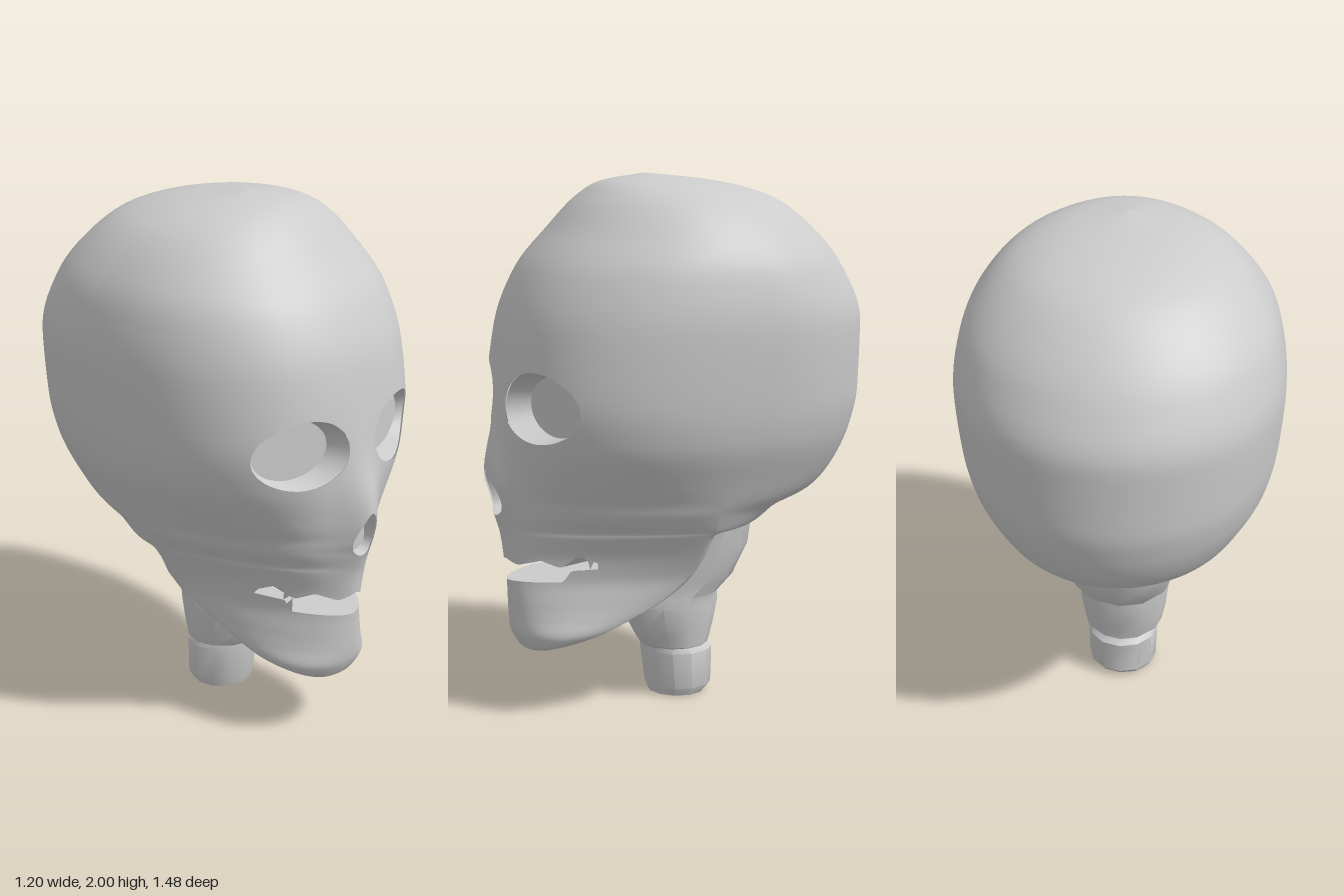
import * as THREE from 'three';
import { toCreasedNormals } from 'three/addons/utils/BufferGeometryUtils.js';

const material = new THREE.MeshStandardMaterial({ color: 0xcccccc, side: THREE.DoubleSide });

// Head sections: [y, half width, front z, back z, z of widest point, front exponents in x and z]
const HEAD = [
  [2, 0, 0.1, 0.1, 0.1, 2, 2],
  [1.97, 0.21, 0.26, -0.17, 0.05, 2, 2],
  [1.91, 0.37, 0.35, -0.39, 0, 2, 2],
  [1.8, 0.49, 0.45, -0.54, -0.06, 2.1, 2.1],
  [1.65, 0.57, 0.57, -0.66, -0.12, 2.3, 2.3],
  [1.45, 0.6, 0.65, -0.74, -0.15, 2.4, 2.4],
  [1.2, 0.585, 0.68, -0.74, -0.13, 2.5, 2.5],
  [1.05, 0.56, 0.675, -0.715, -0.1, 2.4, 2.3],
  [0.9, 0.5, 0.665, -0.65, -0.06, 2.2, 1.8],
  [0.82, 0.465, 0.665, -0.57, -0.03, 2, 1.5],
  [0.77, 0.44, 0.66, -0.42, 0, 2, 1.4],
  [0.71, 0.41, 0.66, -0.3, 0, 1.9, 1.2],
  [0.69, 0.395, 0.66, -0.09, 0.02, 1.9, 1.2],
  [0.6, 0.345, 0.665, -0.06, 0.04, 1.8, 1.1],
  [0.52, 0.305, 0.66, -0.02, 0.07, 1.9, 1.1],
  [0.43, 0.27, 0.655, 0.1, 0.16, 2.1, 1.3],
  [0.37, 0.245, 0.65, 0.22, 0.27, 2.2, 1.5],
  [0.31, 0.215, 0.64, 0.35, 0.4, 2.3, 1.9],
  [0.265, 0.15, 0.62, 0.48, 0.52, 2, 2],
  [0.245, 0.08, 0.605, 0.55, 0.57, 2, 2],
  [0.24, 0, 0.59, 0.59, 0.59, 2, 2],
];

// Neck sections: [y, half width, front z, back z]
const NECK = [
  [0.76, 0.25, 0.05, -0.33], [0.58, 0.23, 0.1, -0.31], [0.46, 0.2, 0.13, -0.25],
  [0.4, 0.18, 0.17, -0.19], [0.36, 0.18, 0.19, -0.19], [0.27, 0.17, 0.16, -0.17],
  [0.2, 0.155, 0.12, -0.15], [0.19, 0.13, 0.11, -0.15], [0.17, 0.14, 0.11, -0.17],
  [0.03, 0.135, 0.09, -0.165], [0, 0.12, 0.08, -0.14], [0, 0, -0.03, -0.03],
].map(([y, w, f, b]) => [y, w, f, b, (f + b) / 2, 2, 2]);

// Monotone smoothing between sections
function refine(keys, steps) {
  const slope = (i, k) => keys[i + 1][k] - keys[i][k];
  const tangent = (i, k) => {
    if (i === 0) return slope(0, k);
    if (i === keys.length - 1) return slope(i - 1, k);
    const a = slope(i - 1, k), b = slope(i, k);
    return a * b <= 0 ? 0 : (2 * a * b) / (a + b);
  };
  const rows = [];
  for (let i = 0; i < keys.length - 1; i++) {
    for (let s = 0; s < steps; s++) {
      const t = s / steps, t2 = t * t, t3 = t2 * t;
      rows.push(keys[i].map((v, k) => v * (2 * t3 - 3 * t2 + 1) + keys[i + 1][k] * (3 * t2 - 2 * t3)
        + tangent(i, k) * (t3 - 2 * t2 + t) + tangent(i + 1, k) * (t3 - t2)));
    }
  }
  rows.push(keys[keys.length - 1]);
  return rows;
}

const headRows = refine(HEAD, 6);

// Front of a section at a given side offset s = x / half width
const frontZ = ([, , f, , c, px, pz], s) =>
  c + (f - c) * Math.pow(Math.max(0, 1 - Math.pow(Math.min(1, Math.abs(s)), px)), 1 / pz);

// Raised nose bridge
const noseBump = (x, y) => 0.08 * Math.exp(-((x / 0.09) ** 2) - ((y - 0.9) / 0.2) ** 2);

function faceZ(x, y) {
  const i = Math.max(1, headRows.findIndex((r) => r[0] <= y));
  const a = headRows[i - 1], b = headRows[i];
  const t = (a[0] - y) / (a[0] - b[0]);
  const row = a.map((v, k) => v + (b[k] - v) * t);
  return frontZ(row, x / row[1]) + noseBump(x, y);
}

// Eye and nose openings; taper narrows the top
const eye = (side) => ({
  name: side > 0 ? 'leftEyeSocket' : 'rightEyeSocket', cx: side * 0.235, cy: 1.18, rx: 0.17, ry: 0.128,
  taper: 0, inner: 0.86, floor: (x) => 0.59 - 0.3 * (Math.abs(x) - 0.1),
});
const OPENINGS = [eye(1), eye(-1),
  { name: 'noseCavity', cx: 0, cy: 0.845, rx: 0.052, ry: 0.087, taper: 0.4, inner: 0.92, floor: () => 0.66 }];

const openingPoint = (h, u, v) => [h.cx + u * h.rx * (1 - h.taper * v), h.cy + v * h.ry];

// Mouth edges by distance from the middle
const UPPER_LIP = [[0, 0.6], [0.06, 0.575], [0.12, 0.6], [0.16, 0.57], [0.2, 0.62], [0.24, 0.57]];
const LOWER_LIP = [[0, 0.51], [0.16, 0.515], [0.175, 0.56], [0.24, 0.57]];
function lip(points, x) {
  const d = Math.min(Math.abs(x), 0.24);
  const i = Math.max(1, points.findIndex((p) => p[0] >= d));
  const [a, b] = [points[i - 1], points[i]];
  return a[1] + ((b[1] - a[1]) * (d - a[0])) / (b[0] - a[0]);
}

// Moves a face point lying inside an opening onto its rim; null when outside
function snapToRim(x, y) {
  for (const h of OPENINGS) {
    const v = (y - h.cy) / h.ry;
    if (Math.abs(v) >= 1) continue;
    const u = (x - h.cx) / (h.rx * (1 - h.taper * v));
    const r = Math.hypot(u, v);
    if (r < 1) return r > 1e-6 ? openingPoint(h, u / r, v / r) : openingPoint(h, 1, 0);
  }
  if (Math.abs(x) < 0.24) {
    const top = lip(UPPER_LIP, x), low = lip(LOWER_LIP, x);
    if (y < top && y > low) return [x, top - y < y - low ? top : low];
  }
  return null;
}

function grid(positions, index) {
  const g = new THREE.BufferGeometry();
  g.setAttribute('position', new THREE.Float32BufferAttribute(positions, 3));
  g.setIndex(index);
  g.computeVertexNormals();
  return g;
}

// Skin over horizontal sections, running top to bottom
function skin(rows, cols, isFace) {
  const pos = [], open = [], index = [];
  for (const row of rows) {
    for (let j = 0; j < cols; j++) {
      const t = (j / cols) * Math.PI * 2, s = Math.sin(t), cos = Math.cos(t);
      let x = row[1] * s, y = row[0];
      let z = cos >= 0 ? frontZ(row, s) : row[4] + (row[4] - row[3]) * cos;
      let rim = null;
      if (isFace && cos > 0) {
        z += noseBump(x, y) * cos;
        rim = snapToRim(x, y);
        if (rim) {
          [x, y] = rim;
          z = faceZ(x, y);
        }
      }
      pos.push(x, y, z);
      open.push(rim !== null);
    }
  }
  const face = (a, b, c) => { if (!(open[a] && open[b] && open[c])) index.push(a, b, c); };
  for (let i = 0; i < rows.length - 1; i++) {
    for (let j = 0; j < cols; j++) {
      const k = (j + 1) % cols;
      const a = i * cols + j, b = i * cols + k, c = a + cols, d = b + cols;
      face(a, c, b);
      face(b, c, d);
    }
  }
  return grid(pos, index);
}

// Strip of rings: each ring is a list of points of equal length
function strip(rings) {
  const n = rings[0].length, index = [];
  for (let i = 0; i < rings.length - 1; i++) {
    for (let j = 0; j < n - 1; j++) {
      const a = i * n + j, c = a + n;
      index.push(a, a + 1, c, a + 1, c + 1, c);
    }
  }
  return toCreasedNormals(grid(rings.flat(2), index), 0.6);
}

// Recess with a short wall and a flat floor
function recess(h) {
  const ring = (scale, place) => Array.from({ length: 49 }, (_, i) => {
    const t = (i / 48) * Math.PI * 2;
    const [x, y] = openingPoint(h, Math.cos(t) * scale, Math.sin(t) * scale);
    return [x, y, place(x, y)];
  });
  return strip([ring(1.02, (x, y) => faceZ(x, y) - 0.006), ring(h.inner, h.floor), ring(0, h.floor)]);
}

// Mouth lining: roof, back wall and floor
function mouthLining() {
  const xs = Array.from({ length: 65 }, (_, i) => -0.24 + (0.48 * i) / 64);
  const edge = (points) => xs.map((x) => [x, lip(points, x), faceZ(x, lip(points, x))]);
  const inside = (y) => xs.map((x) => [x * 0.9, y, Math.min(0.28, faceZ(x, y))]);
  return strip([edge(UPPER_LIP), inside(0.6), inside(0.52), edge(LOWER_LIP)]);
}

export function createModel() {
  const model = new THREE.Group();
  const add = (name, geometry) => {
    const mesh = new THREE.Mesh(geometry, material);
    mesh.name = name;
    model.add(mesh);
  };
  add('skull', skin(headRows, 200, true));
  for (const h of OPENINGS) add(h.name, recess(h));
  add('mouthLining', mouthLining());
  add('neck', toCreasedNormals(skin(NECK, 12, false), 0.6));
  return model;
}
